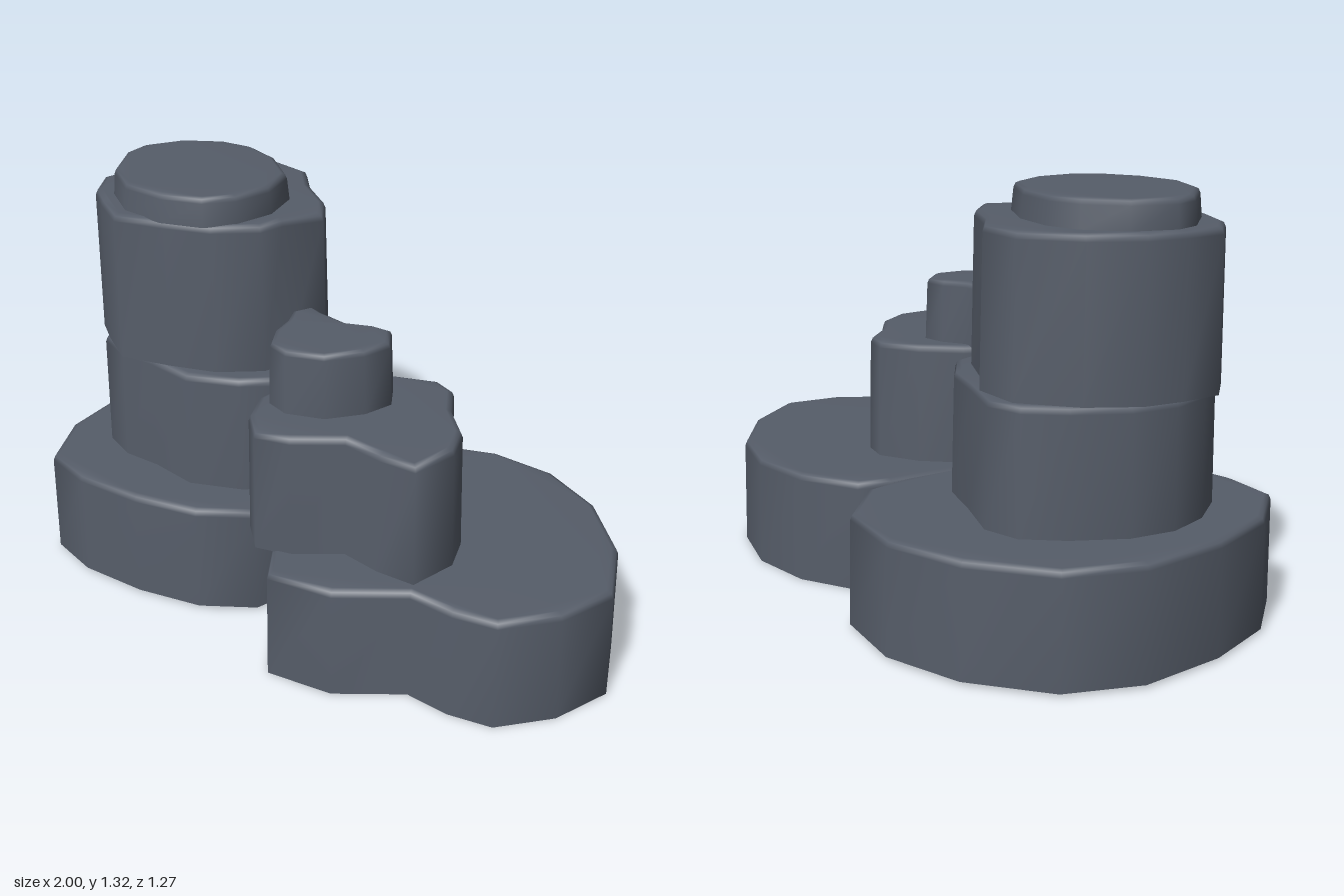
import * as THREE from 'three';

const stone = new THREE.MeshStandardMaterial({ color: 0x565d69, side: THREE.DoubleSide });
stone.name = 'slate stone';

// Stone slab: an [x, z] outline raised from y0 to y1, soft top rim, open underneath
function slab(name, y0, y1, outline, bevel = 0.022) {
  const pts = outline.map(([x, z]) => new THREE.Vector2(x, -z));
  if (THREE.ShapeUtils.isClockWise(pts)) pts.reverse();
  const n = pts.length;
  const normals = pts.map((p, i) => {
    const t = pts[(i + 1) % n].clone().sub(pts[(i + n - 1) % n]).normalize();
    return new THREE.Vector2(t.y, -t.x);
  });

  // Rings from the foot to the top: [inset, height]
  const rings = [
    [0, y0],
    [0.007, y1 - bevel],
    [0.007 + bevel * 0.3, y1 - bevel * 0.3],
    [0.007 + bevel, y1],
  ];
  const position = [], index = [];
  for (const [inset, y] of rings) {
    pts.forEach((p, i) => {
      position.push(p.x - normals[i].x * inset, y, -(p.y - normals[i].y * inset));
    });
  }
  for (let r = 0; r < rings.length - 1; r++) {
    for (let i = 0; i < n; i++) {
      const a = r * n + i, b = r * n + (i + 1) % n;
      index.push(a, b, b + n, a, b + n, a + n);
    }
  }
  // Flat top
  const top = (rings.length - 1) * n;
  for (const [a, b, c] of THREE.ShapeUtils.triangulateShape(pts, [])) {
    index.push(top + a, top + b, top + c);
  }
  const geometry = new THREE.BufferGeometry();
  geometry.setAttribute('position', new THREE.Float32BufferAttribute(position, 3));
  geometry.setIndex(index);
  geometry.computeVertexNormals();
  const mesh = new THREE.Mesh(geometry, stone);
  mesh.name = name;
  return mesh;
}

export function createModel() {
  const model = new THREE.Group();
  model.name = 'rockStack';

  // Tall stack
  const tall = new THREE.Group();
  tall.name = 'tallStack';
  tall.add(
    slab('tallBase', 0.01, 0.365, [
      [-0.49, -0.635], [-0.23, -0.64], [0, -0.535], [0.105, -0.33], [0.08, -0.18],
      [0.02, -0.03], [-0.04, 0.18], [-0.13, 0.38], [-0.3, 0.46], [-0.52, 0.48],
      [-0.75, 0.46], [-0.92, 0.39], [-1, 0.18], [-0.99, -0.07], [-0.91, -0.34], [-0.75, -0.53],
    ]),
    slab('tallLowerBlock', 0.36, 0.75, [
      [-0.52, -0.405], [-0.4, -0.4], [-0.26, -0.29], [-0.13, -0.2], [-0.045, -0.08],
      [-0.05, 0.06], [-0.12, 0.2], [-0.24, 0.275], [-0.41, 0.32], [-0.57, 0.275],
      [-0.7, 0.26], [-0.81, 0.2], [-0.85, 0.06], [-0.84, -0.08], [-0.77, -0.21], [-0.64, -0.33],
    ]),
    slab('tallUpperBlock', 0.755, 1.23, [
      [-0.49, -0.395], [-0.34, -0.345], [-0.26, -0.23], [-0.14, -0.115], [-0.085, 0],
      [-0.17, 0.1], [-0.2, 0.18], [-0.33, 0.26], [-0.48, 0.29], [-0.65, 0.31],
      [-0.77, 0.215], [-0.85, 0.14], [-0.905, 0.02], [-0.86, -0.1], [-0.8, -0.21], [-0.67, -0.32],
    ]),
    slab('tallCapStone', 1.225, 1.315, [
      [-0.61, -0.265], [-0.5, -0.26], [-0.37, -0.195], [-0.25, -0.07], [-0.23, 0.07],
      [-0.275, 0.19], [-0.355, 0.26], [-0.49, 0.285], [-0.64, 0.255], [-0.76, 0.15],
      [-0.83, -0.01], [-0.825, -0.1], [-0.74, -0.21],
    ], 0.018),
  );

  // Low stack
  const low = new THREE.Group();
  low.name = 'lowStack';
  low.add(
    slab('lowBase', 0, 0.36, [
      [0.16, -0.31], [0.37, -0.355], [0.585, -0.32], [0.78, -0.195], [0.93, 0.01],
      [0.995, 0.24], [0.905, 0.415], [0.76, 0.54], [0.62, 0.55], [0.48, 0.525],
      [0.28, 0.63], [0.065, 0.635], [-0.02, 0.46], [-0.09, 0.28], [-0.07, 0.1],
      [0.02, -0.06], [0.09, -0.22],
    ]),
    slab('lowMiddleBlock', 0.355, 0.748, [
      [0.29, -0.045], [0.37, 0], [0.42, 0.115], [0.5, 0.22], [0.525, 0.335],
      [0.47, 0.48], [0.345, 0.47], [0.22, 0.435], [0.08, 0.51], [-0.035, 0.525],
      [-0.11, 0.435], [-0.145, 0.32], [-0.12, 0.18], [0.02, 0.06], [0.15, -0.015],
    ]),
    slab('lowCapStone', 0.742, 0.95, [
      [-0.105, 0.05], [-0.05, 0.07], [0.045, 0.1], [0.125, 0.08], [0.2, 0.09],
      [0.24, 0.18], [0.2, 0.27], [0.11, 0.355], [-0.01, 0.38], [-0.085, 0.345],
      [-0.12, 0.26], [-0.125, 0.18], [-0.145, 0.11],
    ], 0.018),
  );

  model.add(tall, low);
  return model;
}
